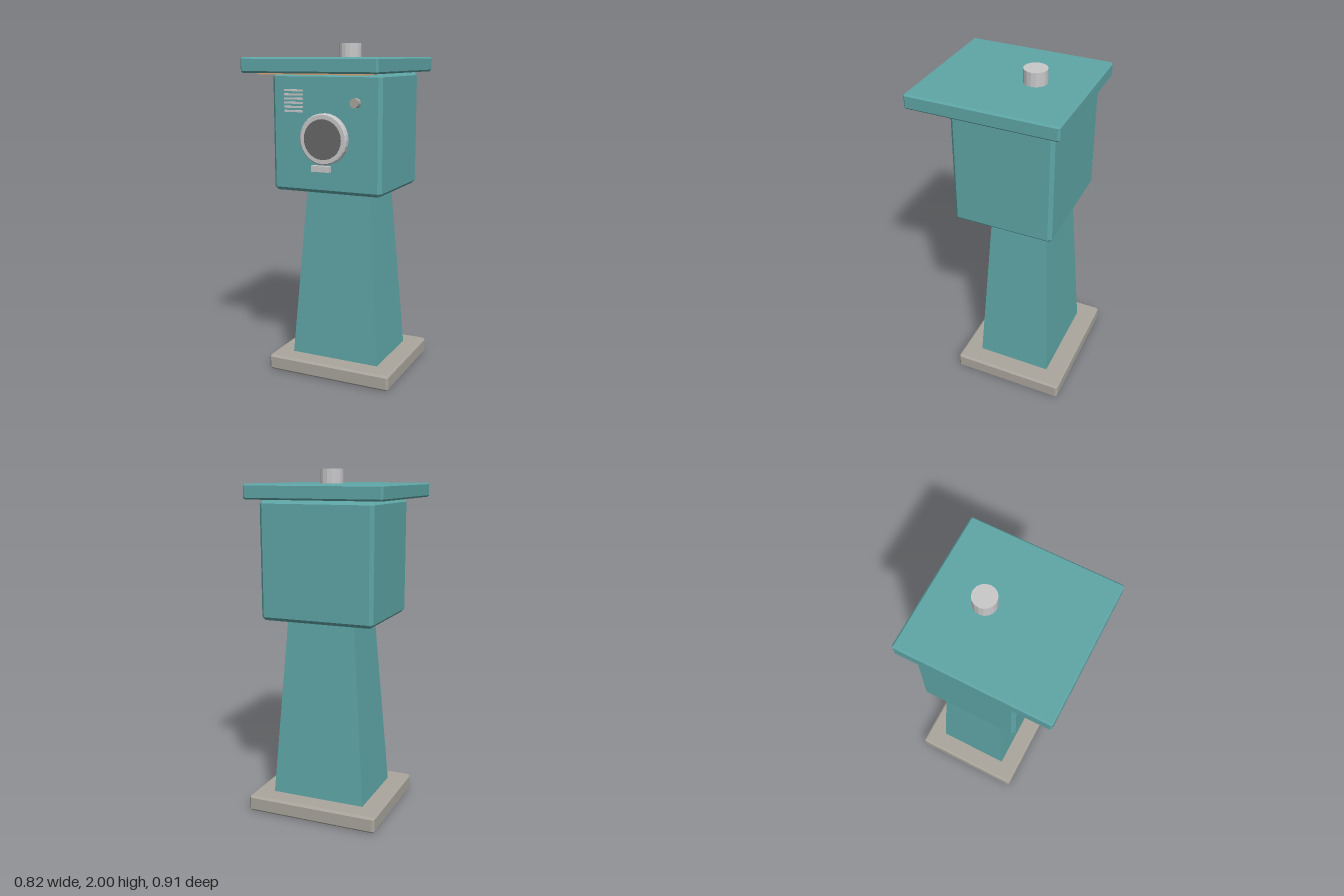
import * as THREE from 'three';
import { ConvexGeometry } from 'three/addons/geometries/ConvexGeometry.js';

const mat = (name, color, flatShading = false) => {
  const m = new THREE.MeshStandardMaterial({ color, flatShading });
  m.name = name;
  return m;
};

// Box with every edge cut at 45 degrees, placed by its min and max corners
function chamferBox(min, max, c) {
  const centre = min.map((v, i) => (v + max[i]) / 2);
  const half = min.map((v, i) => (max[i] - v) / 2);
  const points = [];
  for (const sx of [-1, 1]) for (const sy of [-1, 1]) for (const sz of [-1, 1]) {
    const s = [sx, sy, sz];
    for (let axis = 0; axis < 3; axis++) {
      const p = s.map((sign, i) => centre[i] + sign * (half[i] - (i === axis ? 0 : c)));
      points.push(new THREE.Vector3(...p));
    }
  }
  return new ConvexGeometry(points);
}

export function createModel() {
  const group = new THREE.Group();
  group.name = 'viewerPost';

  const teal = mat('tealPaint', 0x5fa5a6, true);
  const stone = mat('stone', 0xaaa69d, true);
  const metal = mat('lightMetal', 0xc8c8ca, true);
  const glass = mat('darkGlass', 0x686868);
  const lamp = mat('warmLamp', 0xd8a878);

  const add = (name, geometry, material, x = 0, y = 0, z = 0) => {
    const mesh = new THREE.Mesh(geometry, material);
    mesh.name = name;
    mesh.position.set(x, y, z);
    group.add(mesh);
    return mesh;
  };

  // Base slab
  add('base', chamferBox([-0.397, 0, -0.456], [0.397, 0.095, 0.228], 0.012), stone);

  // Tapering pedestal: a box narrowed at the top
  const pedestal = new THREE.BoxGeometry(0.568, 1.065, 0.453);
  const pos = pedestal.attributes.position;
  for (let i = 0; i < pos.count; i++) {
    if (pos.getY(i) > 0) {
      pos.setX(i, pos.getX(i) * 0.717);
      pos.setZ(i, pos.getZ(i) * 0.745);
    }
  }
  pedestal.computeVertexNormals();
  add('pedestal', pedestal, teal, 0, 0.6225, -0.113);

  // Head and overhanging roof
  add('head', chamferBox([-0.341, 1.15, -0.36], [0.341, 1.832, 0.228], 0.02), teal);
  add('roof', chamferBox([-0.41, 1.834, -0.412], [0.41, 1.92, 0.454], 0.01), teal);
  add('roofLamp', new THREE.BoxGeometry(0.65, 0.009, 0.16), lamp, 0, 1.8305, 0.33);

  // Chimney cap
  add('chimney', new THREE.CylinderGeometry(0.067, 0.067, 0.09, 16), metal, 0, 1.955, -0.115);

  // Lens ring and glass
  const profile = [[0.112, 0], [0.146, 0], [0.146, 0.036], [0.139, 0.042], [0.112, 0.042], [0.112, 0]]
    .map(([r, h]) => new THREE.Vector2(r, h));
  add('lensRing', new THREE.LatheGeometry(profile, 28), metal, 0, 1.465, 0.222).rotation.x = Math.PI / 2;
  add('lensGlass', new THREE.CylinderGeometry(0.115, 0.115, 0.045, 28), glass, 0, 1.465, 0.246).rotation.x = Math.PI / 2;

  // Small ledge below the lens
  add('ledge', new THREE.BoxGeometry(0.11, 0.034, 0.032), metal, 0, 1.302, 0.283);

  // Knob
  add('knob', new THREE.CylinderGeometry(0.027, 0.027, 0.045, 12), stone, 0.194, 1.672, 0.243).rotation.x = Math.PI / 2;

  // Vent slats
  for (let i = 0; i < 6; i++) {
    add('ventSlat', new THREE.BoxGeometry(0.114, 0.011, 0.02), metal, -0.196, 1.617 + i * 0.0235, 0.233);
  }
  return group;
}
